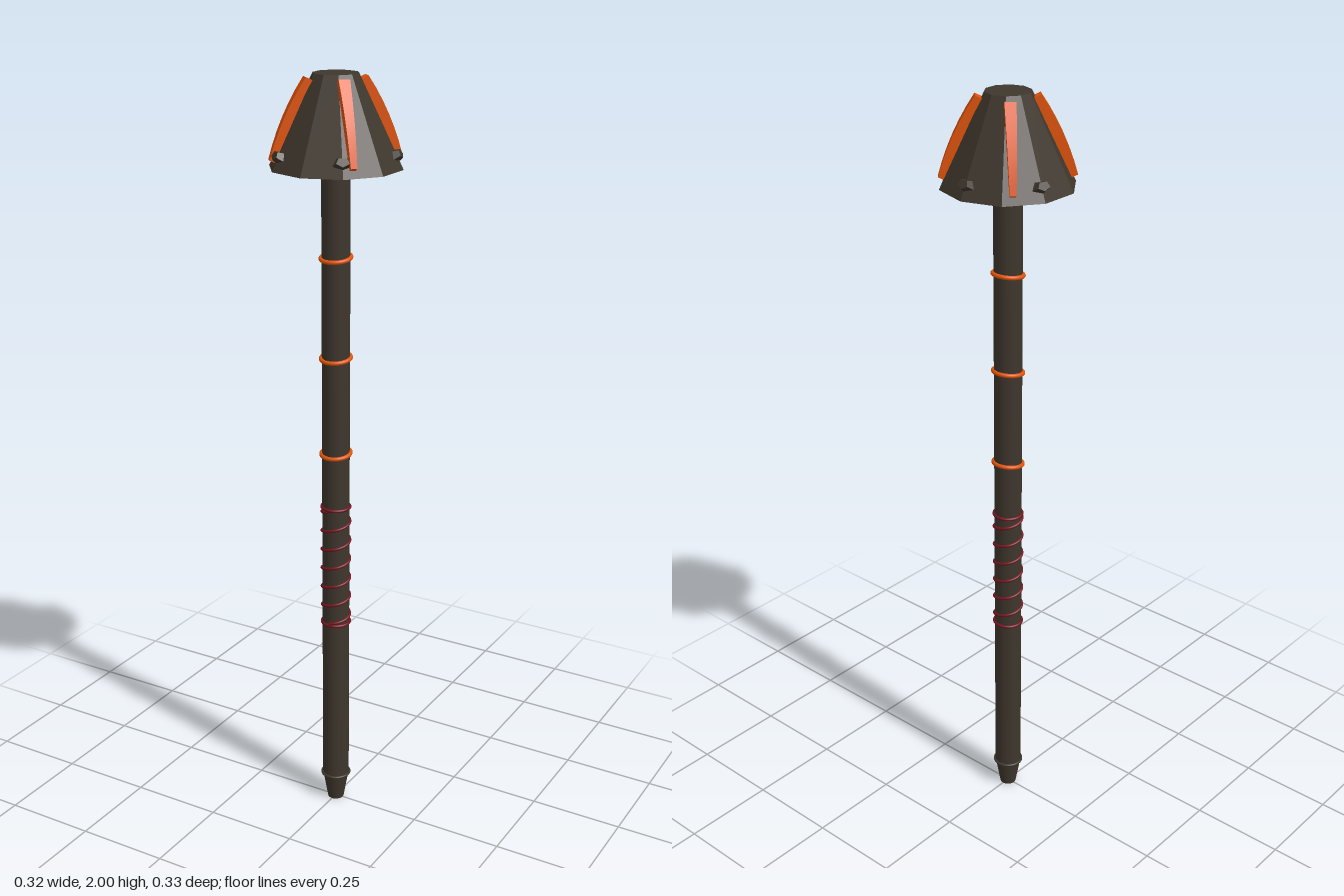
import * as THREE from 'three';

const mat = (name, color, flatShading = false) => {
  const m = new THREE.MeshStandardMaterial({ color, flatShading });
  m.name = name;
  return m;
};

export function createModel() {
  const iron = mat('dark iron', 0x3f372d, true);
  const shaft = mat('shaft wood', 0x3e362c);
  const orange = mat('orange', 0xe0540a);
  const red = mat('dark red cord', 0x74141e);

  const model = new THREE.Group();
  model.name = 'mace';
  const add = (name, geometry, material, y = 0) => {
    const mesh = new THREE.Mesh(geometry, material);
    mesh.name = name;
    mesh.position.y = y;
    model.add(mesh);
    return mesh;
  };
  const ring = (name, y, r, tube, material, tilt = 0) => {
    const g = new THREE.TorusGeometry(r, tube, 16, 40).rotateX(Math.PI / 2 + tilt);
    return add(name, g, material, y);
  };

  // Shaft and tapered foot
  add('shaft', new THREE.CylinderGeometry(0.036, 0.036, 1.7, 24), shaft, 0.93);
  add('foot', new THREE.CylinderGeometry(0.036, 0.022, 0.08, 24), shaft, 0.04);
  ring('footBand', 0.078, 0.037, 0.004, shaft);

  // Grip cord: a rising helix closed by a ring at each end
  const points = [];
  const turns = 6, perTurn = 16;
  for (let i = 0; i <= turns * perTurn; i++) {
    const a = (i / perTurn) * Math.PI * 2;
    points.push(new THREE.Vector3(Math.sin(a) * 0.037, 0.555 + 0.325 * i / (turns * perTurn), Math.cos(a) * 0.037));
  }
  add('gripCord', new THREE.TubeGeometry(new THREE.CatmullRomCurve3(points), 240, 0.004, 14), red);
  for (const y of [0.55, 0.885]) ring('gripEndRing', y, 0.037, 0.0042, red);

  // Slightly tilted shaft rings, lower at the front
  for (const y of [1.035, 1.293, 1.552]) ring('shaftRing', y, 0.038, 0.0055, orange, 0.13);

  // Ten-sided head
  add('head', new THREE.CylinderGeometry(0.057, 0.167, 0.225, 10), iron, 1.8875);

  // Four tapered ribs running down the head, their outer faces gently bowed
  const top = new THREE.Vector2(0.067, 1.988), bottom = new THREE.Vector2(0.156, 1.795);
  const length = top.distanceTo(bottom);
  const ribGeometry = new THREE.BoxGeometry(0.028, length, 0.022, 1, 6, 1);
  const p = ribGeometry.attributes.position;
  for (let i = 0; i < p.count; i++) {
    const t = p.getY(i) / length;
    p.setX(i, p.getX(i) * (0.78 + 0.44 * t));
    if (p.getZ(i) > 0) p.setZ(i, p.getZ(i) + 0.009 * (1 - 4 * t * t));
  }
  ribGeometry.rotateX(-Math.atan2(bottom.x - top.x, top.y - bottom.y));
  ribGeometry.translate(0, (top.y + bottom.y) / 2, (top.x + bottom.x) / 2);
  ribGeometry.computeVertexNormals();
  for (let i = 0; i < 4; i++) {
    add('headRib', ribGeometry, orange).rotation.y = Math.PI / 4 + i * Math.PI / 2;
  }

  // Five blunt studs near the rim
  const studGeometry = new THREE.CylinderGeometry(0.017, 0.026, 0.022, 5)
    .scale(1, 1, 0.7).rotateX(Math.PI / 2 - 0.45).translate(0, 1.81, 0.15);
  for (let i = 0; i < 5; i++) {
    add('headStud', studGeometry, iron).rotation.y = Math.PI + i * Math.PI * 2 / 5;
  }
  return model;
}
